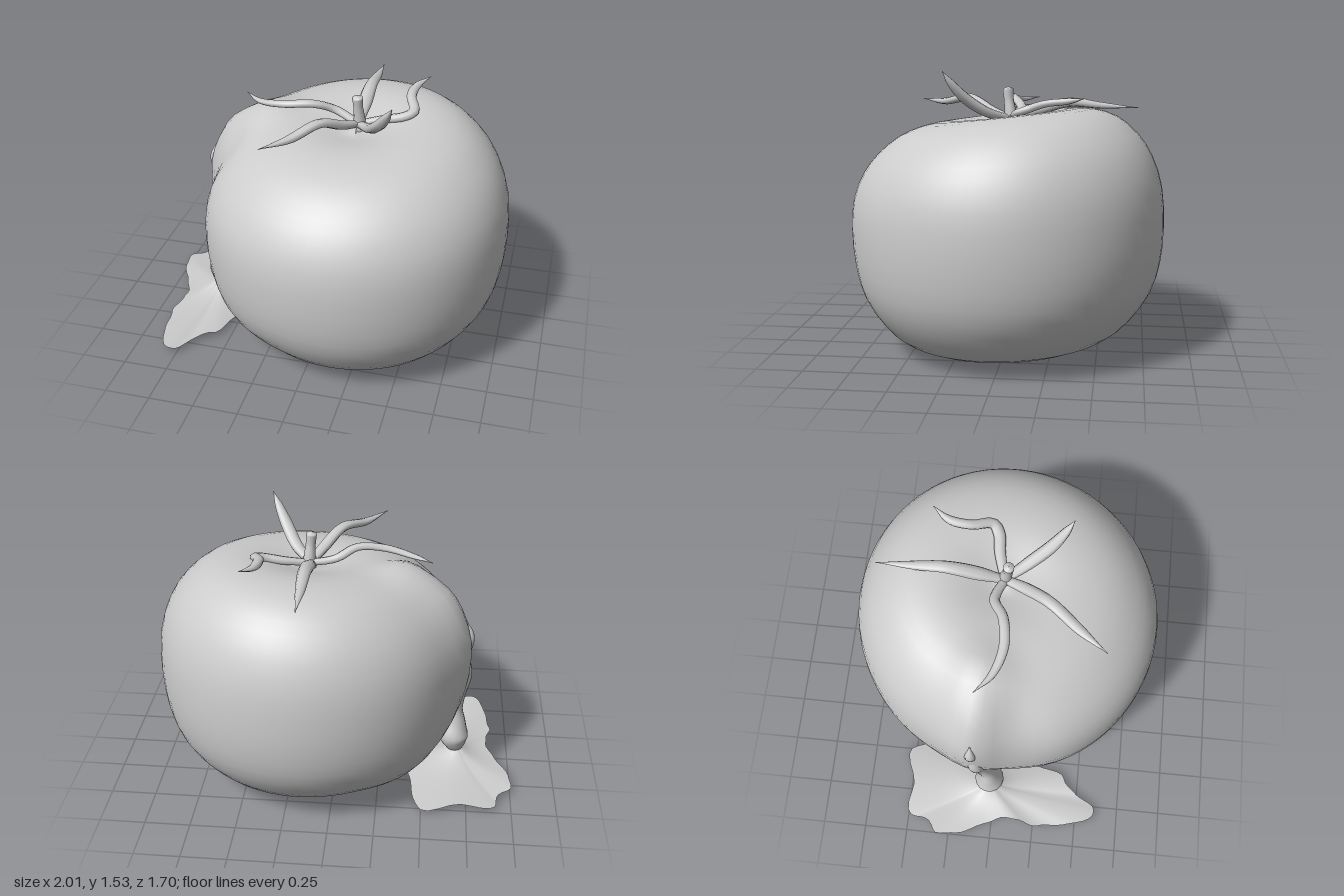
import * as THREE from 'three';
import { mergeVertices } from 'three/addons/utils/BufferGeometryUtils.js';

const material = new THREE.MeshStandardMaterial({ color: 0xcccccc });
const thinMaterial = new THREE.MeshStandardMaterial({ color: 0xcccccc, side: THREE.DoubleSide });
const { smoothstep } = THREE.MathUtils;
const bell = (v, centre, width) => Math.exp(-(((v - centre) / width) ** 2));

// Weld seams and give smooth normals
function smooth(geometry) {
  geometry.deleteAttribute('uv');
  geometry.deleteAttribute('normal');
  const welded = mergeVertices(geometry, 1e-4);
  welded.computeVertexNormals();
  return welded;
}

function addMesh(group, name, geometry, mat = material) {
  const mesh = new THREE.Mesh(geometry, mat);
  mesh.name = name;
  group.add(mesh);
}

// Tube through [x, y, z, radius] points with a varying radius; flat < 1 thins it vertically
function taperedTube(points, steps, sides, flat = 1) {
  const curve = new THREE.CatmullRomCurve3(points.map(p => new THREE.Vector3(p[0], p[1], p[2])));
  const radii = new THREE.SplineCurve(points.map((p, i) => new THREE.Vector2(i, p[3])));
  const geometry = new THREE.TubeGeometry(curve, steps, 1, sides);
  const pos = geometry.attributes.position;
  const v = new THREE.Vector3();
  for (let i = 0; i <= steps; i++) {
    const centre = curve.getPointAt(i / steps);
    const r = Math.max(0.001, radii.getPoint(curve.getUtoTmapping(i / steps)).y);
    for (let j = 0; j <= sides; j++) {
      const k = i * (sides + 1) + j;
      v.fromBufferAttribute(pos, k).sub(centre).multiplyScalar(r);
      v.y *= flat;
      v.add(centre);
      pos.setXYZ(k, v.x, v.y, v.z);
    }
  }
  return smooth(geometry);
}

// Round fruit with a leaning top, a dimple and a raised split on one side
function fruitGeometry() {
  const profile = [[0, 0.025], [0.15, 0.018], [0.28, 0.012], [0.45, 0.045], [0.6, 0.1], [0.7, 0.19],
    [0.79, 0.33], [0.835, 0.49], [0.85, 0.68], [0.835, 0.87], [0.78, 1.02], [0.7, 1.13],
    [0.59, 1.22], [0.46, 1.268], [0.32, 1.28], [0.2, 1.262], [0.1, 1.238], [0, 1.23]];
  const curve = new THREE.SplineCurve(profile.map(p => new THREE.Vector2(...p)));
  const outline = curve.getPoints(34);
  outline[0].x = outline[34].x = 0;
  const geometry = new THREE.LatheGeometry(outline, 72);
  const pos = geometry.attributes.position;
  for (let i = 0; i < pos.count; i++) {
    const x = pos.getX(i), y = pos.getY(i), z = pos.getZ(i);
    const r = Math.hypot(x, z) || 1;
    const a = Math.atan2(z, -x);
    // Split lip: gentle on the back side, steep on the front side
    const band = smoothstep(y, 0.15, 0.95) * (1 - smoothstep(y, 1.1, 1.27)) * smoothstep(r, 0.3, 0.6);
    const push = band * (0.065 * bell(a, -0.14, a < -0.14 ? 0.2 : 0.11) - 0.035 * bell(a, 0.17, 0.17));
    const s = 1 + push / r;
    const lean = (y - 0.67) / 0.61;
    const shoulder = 0.075 * bell(a, -0.14, 0.3) * smoothstep(r, 0.3, 0.58);
    const heel = 0.065 * smoothstep(-x, 0.25, 0.7);
    const tilt = lean > 0 ? lean * (0.045 * x - 0.11 * z + shoulder)
      : lean * (0.025 * x + 0.035 * z + heel);
    pos.setXYZ(i, 0.15 + x * s, y + tilt, z * s);
  }
  return smooth(geometry);
}

// Thin ragged sheet rising to a cone beneath the drip
function puddleGeometry() {
  const edge = [[-0.5, -0.53], [-0.72, -0.495], [-0.91, -0.49], [-0.92, -0.4], [-1, -0.32], [-0.995, -0.2],
    [-0.93, -0.05], [-0.88, 0.06], [-0.88, 0.15], [-0.905, 0.25], [-0.89, 0.36], [-0.865, 0.51],
    [-0.785, 0.62], [-0.72, 0.55], [-0.665, 0.46], [-0.58, 0.4], [-0.53, 0.24], [-0.48, 0.1],
    [-0.37, -0.03], [-0.42, -0.2], [-0.45, -0.38]];
  const curve = new THREE.CatmullRomCurve3(edge.map(p => new THREE.Vector3(p[0], 0, p[1])), true);
  const around = 84, rings = 9, cx = -0.69, cz = -0.03;
  const positions = [], index = [];
  for (let i = 0; i <= rings; i++) {
    for (let j = 0; j < around; j++) {
      const p = curve.getPoint(j / around);
      const angle = j / around * Math.PI * 2;
      const t = i / rings;
      const ragged = t * (1 + 0.015 * t * Math.sin(17 * angle));
      const x = cx + (p.x - cx) * ragged, z = cz + (p.z - cz) * ragged;
      const d = Math.hypot(x - cx, z - cz);
      const ripple = 0.006 * t * Math.sin(6 * angle) - 0.02 * t * smoothstep(x, -0.7, -0.4);
      positions.push(x, 0.03 + 0.11 * Math.exp(-d / 0.09) + ripple, z);
      if (i < rings) {
        const a = i * around + j, b = i * around + (j + 1) % around;
        index.push(a, b, a + around, b, b + around, a + around);
      }
    }
  }
  const geometry = new THREE.BufferGeometry();
  geometry.setAttribute('position', new THREE.Float32BufferAttribute(positions, 3));
  geometry.setIndex(index);
  const welded = mergeVertices(geometry, 1e-4);
  welded.computeVertexNormals();
  return welded;
}

export function createModel() {
  const model = new THREE.Group();
  model.name = 'splitTomato';
  addMesh(model, 'fruit', fruitGeometry());

  // Stalk with a flat cut end
  addMesh(model, 'stalk', taperedTube([[0.157, 1.22, -0.02, 0.04], [0.157, 1.29, -0.015, 0.033],
    [0.152, 1.36, -0.005, 0.027], [0.147, 1.43, 0, 0.028], [0.147, 1.431, 0, 0.001]], 24, 10));

  // Five curling sepals
  const sepals = [
    [[0.15, 1.26, -0.02, 0.025], [0.15, 1.31, -0.17, 0.04], [0.15, 1.35, -0.33, 0.035],
      [0.15, 1.335, -0.5, 0.025], [0.15, 1.325, -0.7, 0.002]],
    [[0.15, 1.26, -0.02, 0.025], [0.29, 1.285, -0.06, 0.03], [0.39, 1.305, -0.075, 0.032],
      [0.435, 1.325, -0.11, 0.03], [0.4, 1.36, -0.22, 0.028], [0.41, 1.375, -0.34, 0.024],
      [0.47, 1.395, -0.43, 0.002]],
    [[0.15, 1.26, -0.02, 0.025], [0.24, 1.3, 0.1, 0.036], [0.31, 1.38, 0.21, 0.036],
      [0.36, 1.46, 0.275, 0.024], [0.395, 1.525, 0.315, 0.002]],
    [[0.15, 1.26, -0.02, 0.025], [0.09, 1.3, 0.1, 0.034], [0, 1.36, 0.23, 0.032],
      [-0.12, 1.33, 0.39, 0.027], [-0.235, 1.335, 0.54, 0.002]],
    [[0.15, 1.26, -0.02, 0.025], [0.01, 1.31, -0.06, 0.028], [-0.1, 1.355, -0.005, 0.028],
      [-0.25, 1.345, 0.015, 0.027], [-0.4, 1.325, -0.03, 0.02], [-0.505, 1.33, -0.115, 0.002]],
  ];
  sepals.forEach((points, i) => addMesh(model, `sepal${i + 1}`, taperedTube(points, 28, 8, 0.7)));

  // Juice running from the split, with a bead at the foot
  addMesh(model, 'drip', taperedTube([[-0.7, 1.0, -0.12, 0.002], [-0.72, 0.9, -0.12, 0.03],
    [-0.695, 0.78, -0.115, 0.036], [-0.71, 0.65, -0.1, 0.042], [-0.69, 0.5, -0.08, 0.035],
    [-0.685, 0.38, -0.05, 0.032], [-0.685, 0.28, -0.035, 0.055], [-0.675, 0.19, -0.03, 0.085],
    [-0.685, 0.12, -0.03, 0.06], [-0.69, 0.08, -0.03, 0.03], [-0.69, 0.06, -0.03, 0.002]], 48, 14));
  addMesh(model, 'puddle', puddleGeometry(), thinMaterial);
  return model;
}
